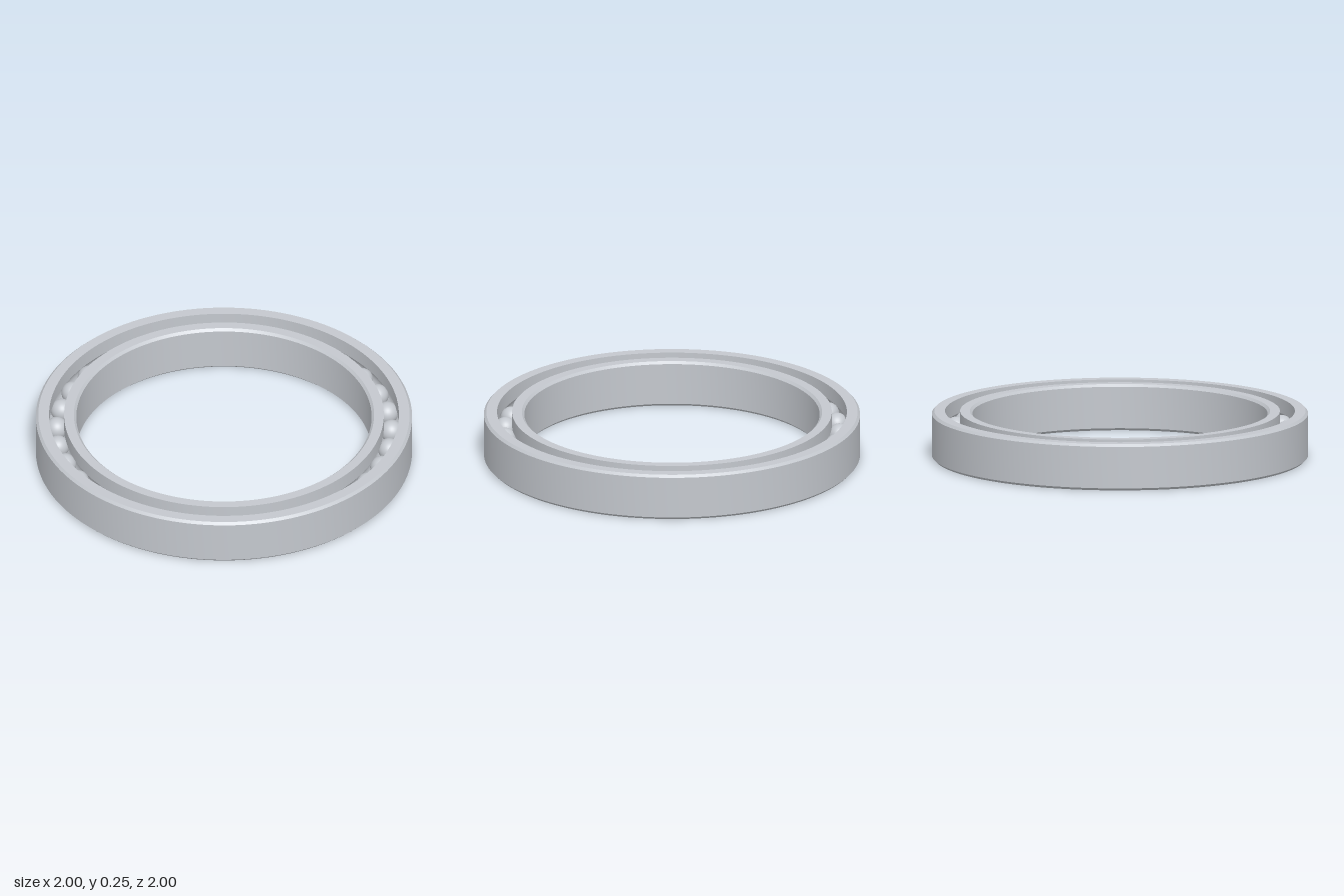
import * as THREE from 'three';
import { toCreasedNormals } from 'three/addons/utils/BufferGeometryUtils.js';

const HEIGHT = 0.25, MID = HEIGHT / 2, CHAMFER = 0.013;
const PITCH = 0.89, BALL = 0.06, GROOVE = 0.061;
const BALL_COUNT = 33, SEGMENTS = 128;

// Raceway arc between the lower and upper shoulder; side +1 opens inward, -1 outward
function raceway(shoulder, side) {
  const half = Math.acos(Math.abs(shoulder - PITCH) / GROOVE);
  const points = [];
  for (let i = 0; i <= 12; i++) {
    const a = half - (2 * half * i) / 12;
    points.push([PITCH + side * GROOVE * Math.cos(a), MID + side * GROOVE * Math.sin(a)]);
  }
  return points;
}

// Revolves a closed counterclockwise (radius, height) profile
function ring(name, profile, material) {
  const points = [...profile, profile[0]].map(([r, y]) => new THREE.Vector2(r, y));
  const geometry = toCreasedNormals(new THREE.LatheGeometry(points, SEGMENTS), 0.5);
  const mesh = new THREE.Mesh(geometry, material);
  mesh.name = name;
  return mesh;
}

export function createModel() {
  const steel = new THREE.MeshStandardMaterial({ color: 0xc4c8ce });
  steel.name = 'steel';
  const model = new THREE.Group();
  model.name = 'ballBearing';

  // Outer ring: chamfered outside, raceway on its inner wall
  const outerShoulder = 0.93;
  model.add(ring('outerRing', [
    [1 - CHAMFER, 0], [1, CHAMFER], [1, HEIGHT - CHAMFER], [1 - CHAMFER, HEIGHT],
    [outerShoulder, HEIGHT], ...raceway(outerShoulder, 1), [outerShoulder, 0],
  ], steel));

  // Inner ring: chamfered bore, raceway on its outer wall
  const innerShoulder = 0.85, bore = 0.785;
  model.add(ring('innerRing', [
    [innerShoulder, 0], ...raceway(innerShoulder, -1), [innerShoulder, HEIGHT],
    [bore + CHAMFER, HEIGHT], [bore, HEIGHT - CHAMFER], [bore, CHAMFER], [bore + CHAMFER, 0],
  ], steel));

  // Balls spaced evenly around the pitch circle
  const balls = new THREE.Group();
  balls.name = 'balls';
  const ballGeometry = new THREE.SphereGeometry(BALL, 32, 20);
  for (let i = 0; i < BALL_COUNT; i++) {
    const a = (i / BALL_COUNT) * Math.PI * 2;
    const ball = new THREE.Mesh(ballGeometry, steel);
    ball.name = 'ball';
    ball.position.set(PITCH * Math.cos(a), MID, PITCH * Math.sin(a));
    balls.add(ball);
  }
  model.add(balls);
  return model;
}
